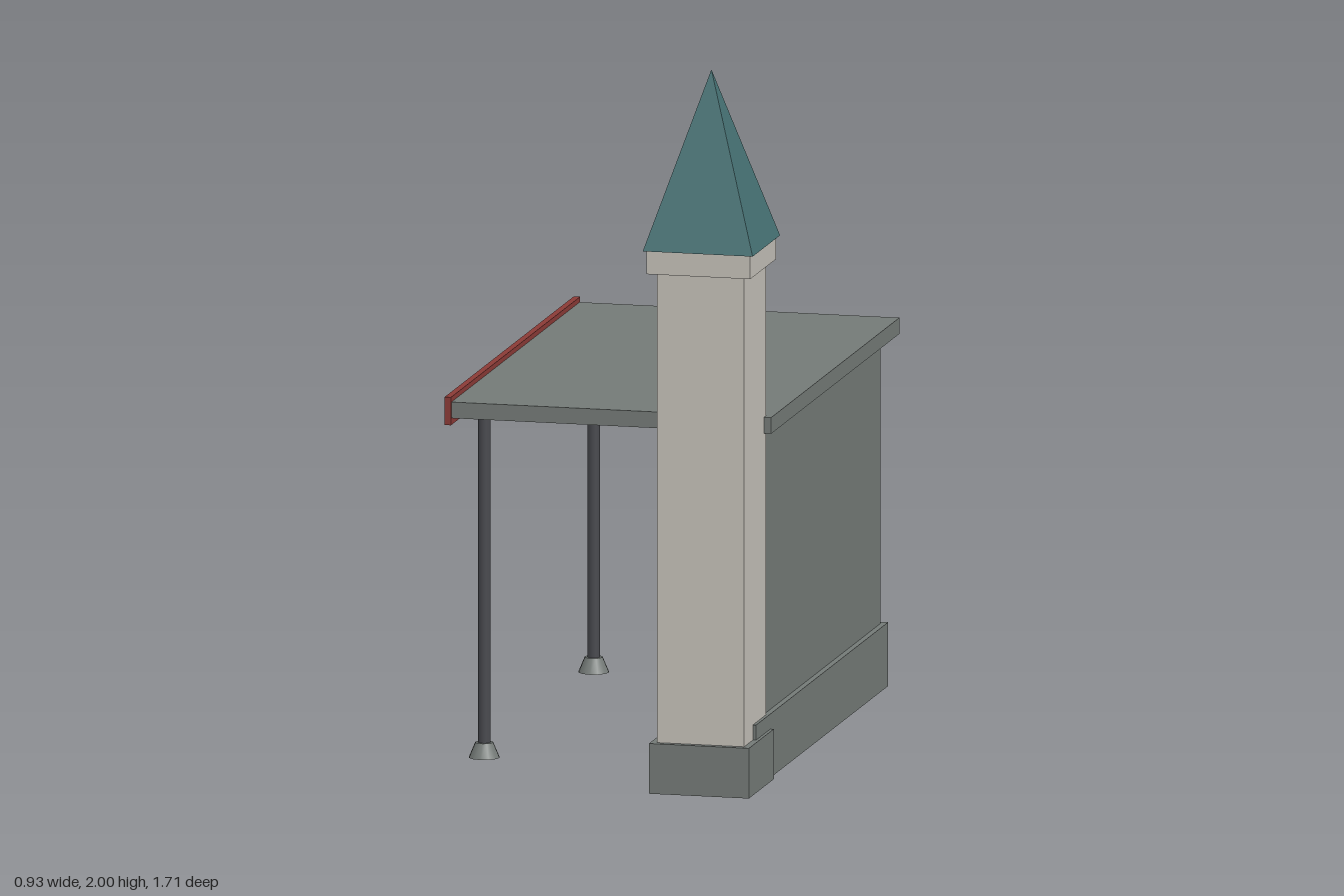
import * as THREE from 'three';

const mat = (name, color) => {
  const m = new THREE.MeshStandardMaterial({ color });
  m.name = name;
  return m;
};

export function createModel() {
  const stone = mat('grey stone', 0x747a77);
  const plaster = mat('cream plaster', 0xc4c0b8);
  const teal = mat('teal roofing', 0x457073);
  const red = mat('red trim', 0x8a3a36);
  const iron = mat('dark iron', 0x48494e);
  const gold = mat('gold', 0xb08a24);
  teal.flatShading = true;

  const model = new THREE.Group();
  model.name = 'shelterWithTower';

  const add = (parent, name, geometry, material, x, y, z) => {
    const mesh = new THREE.Mesh(geometry, material);
    mesh.name = name;
    mesh.position.set(x, y, z);
    parent.add(mesh);
    return mesh;
  };
  // Box given by its limits on each axis
  const box = (parent, name, material, [x0, x1], [y0, y1], [z0, z1]) =>
    add(parent, name, new THREE.BoxGeometry(x1 - x0, y1 - y0, z1 - z0), material,
      (x0 + x1) / 2, (y0 + y1) / 2, (z0 + z1) / 2);

  // Square tower, stacked around its own axis
  const tower = new THREE.Group();
  tower.name = 'tower';
  tower.position.set(0.309, 0, 0.7);
  model.add(tower);
  const tier = (name, material, half, y0, y1) =>
    box(tower, name, material, [-half, half], [y0, y1], [-half, half]);
  tier('towerBase', stone, 0.141, 0, 0.14);
  tier('towerShaft', plaster, 0.123, 0.14, 1.45);
  tier('towerCornice', plaster, 0.146, 1.45, 1.515);
  const spire = new THREE.ConeGeometry(0.155 * Math.SQRT2, 0.485, 4);
  spire.rotateY(Math.PI / 4);
  add(tower, 'spire', spire, teal, 0, 1.7575, 0);

  // Round clock face on the side above the roof
  const clock = new THREE.CylinderGeometry(0.08, 0.08, 0.016, 24);
  clock.rotateZ(Math.PI / 2);
  add(tower, 'clockFace', clock, gold, -0.123, 1.26, 0);

  // Rear wall on its plinth
  box(model, 'wallPlinth', stone, [0.335, 0.441], [0.004, 0.182], [-0.768, 0.725]);
  box(model, 'wall', stone, [0.353, 0.425], [0.182, 0.971], [-0.745, 0.6]);

  // Flat roof with trim along the open edge
  box(model, 'roofSlab', stone, [-0.452, 0.452], [0.971, 1.016], [-0.852, 0.597]);
  box(model, 'roofTrim', red, [-0.468, -0.45], [0.952, 1.03], [-0.859, 0.602]);

  // Posts under the open edge
  for (const z of [-0.787, 0.45]) {
    const post = new THREE.Group();
    post.name = 'post';
    post.position.set(-0.394, 0, z);
    model.add(post);
    add(post, 'postShaft', new THREE.CylinderGeometry(0.018, 0.018, 0.935, 12), iron, 0, 0.5035, 0);
    add(post, 'postFoot', new THREE.CylinderGeometry(0.025, 0.043, 0.042, 12), stone, 0, 0.021, 0);
  }

  return model;
}
